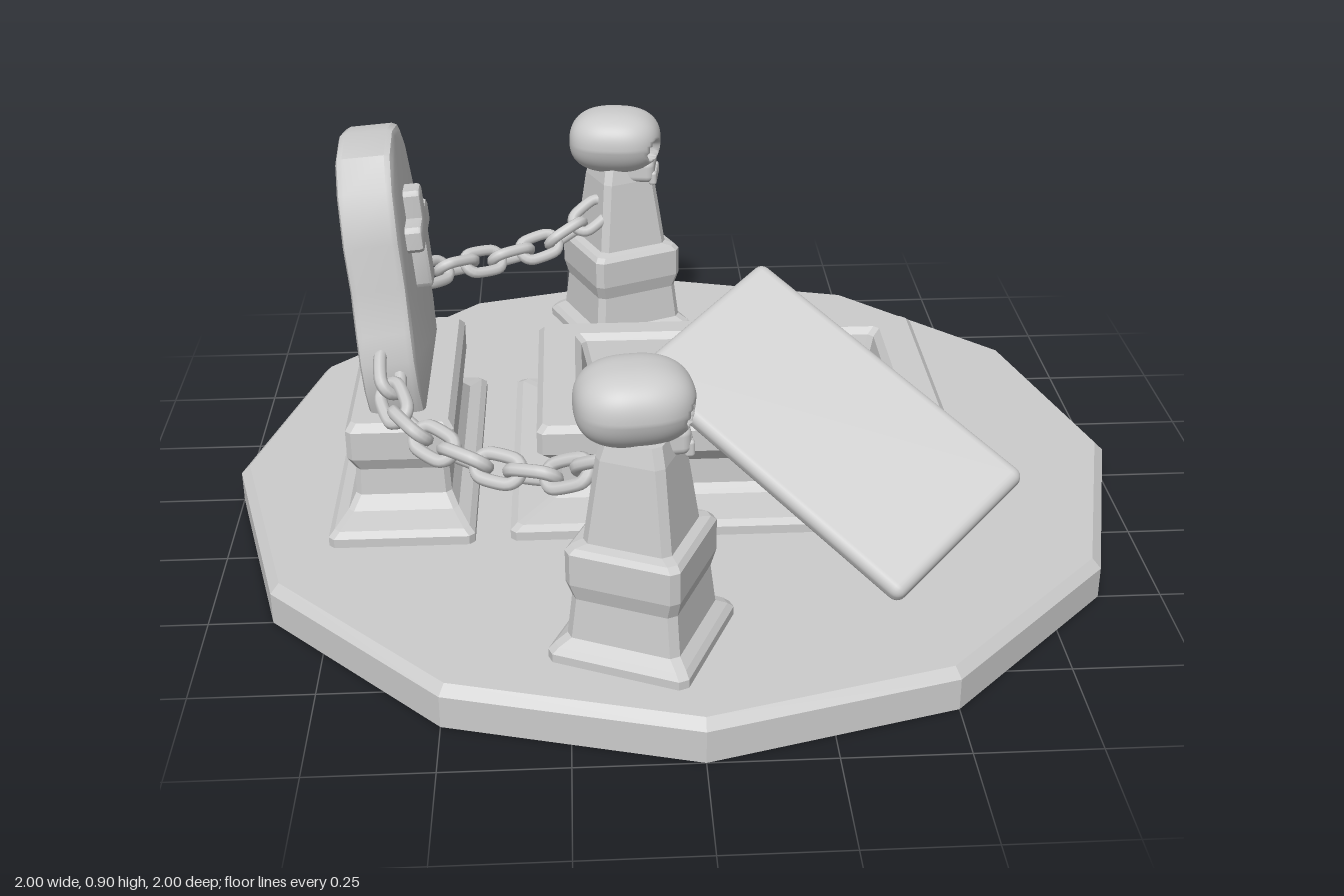
import * as THREE from 'three';
import { toCreasedNormals } from 'three/addons/utils/BufferGeometryUtils.js';
import { RoundedBoxGeometry } from 'three/addons/geometries/RoundedBoxGeometry.js';

const smooth = new THREE.MeshStandardMaterial({ color: 0xcccccc });
const flat = new THREE.MeshStandardMaterial({ color: 0xcccccc, flatShading: true });
const flatDouble = new THREE.MeshStandardMaterial({ color: 0xcccccc, flatShading: true, side: THREE.DoubleSide });

function mesh(name, geometry, material, parent) {
  const m = new THREE.Mesh(geometry, material);
  m.name = name;
  parent.add(m);
  return m;
}

// Stacked rectangular rings [halfX, halfZ, y] with chamfered corners
function rectLoft(rings, c = 0.012) {
  const pos = [], index = [], n = 8, last = (rings.length - 1) * n;
  for (const [x, z, y] of rings) {
    const loop = [[x, z - c], [x, c - z], [x - c, -z], [c - x, -z], [-x, c - z], [-x, z - c], [c - x, z], [x - c, z]];
    for (const [px, pz] of loop) pos.push(px, y, pz);
  }
  for (let i = 0; i < last; i += n) {
    for (let j = 0; j < n; j++) {
      const a = i + j, b = i + (j + 1) % n;
      index.push(a, b, b + n, a, b + n, a + n);
    }
  }
  for (let j = 1; j < n - 1; j++) {
    index.push(0, j + 1, j, last, last + j, last + j + 1);
  }
  const g = new THREE.BufferGeometry();
  g.setAttribute('position', new THREE.Float32BufferAttribute(pos, 3));
  g.setIndex(index);
  g.computeVertexNormals();
  return g;
}

// Bevelled slab from an outline, centred on its thickness
function slab(points, thickness, bevel) {
  const g = new THREE.ExtrudeGeometry(new THREE.Shape(points.map(p => new THREE.Vector2(...p))), {
    depth: thickness - 2 * bevel, bevelEnabled: true, bevelSize: bevel, bevelThickness: bevel,
    bevelOffset: -bevel, bevelSegments: 2
  });
  g.translate(0, 0, bevel - thickness / 2);
  return toCreasedNormals(g, 0.6);
}

const mirrored = half => [...half, ...half.filter(p => p[0] > 0).reverse().map(([x, y]) => [-x, y])];

// Boxy cranium with eye and nose hollows pressed into the +x side
function craniumGeometry() {
  const g = new THREE.SphereGeometry(1, 72, 56);
  const p = g.attributes.position, v = new THREE.Vector3(), e = 2.5;
  const hollows = [[-0.012, 0.04, 0.027], [-0.012, -0.04, 0.027], [-0.05, 0, 0.014]];
  for (let i = 0; i < p.count; i++) {
    v.fromBufferAttribute(p, i);
    v.multiplyScalar((Math.abs(v.x) ** e + Math.abs(v.y) ** e + Math.abs(v.z) ** e) ** (-1 / e));
    const narrow = v.y < 0 ? 1 + 0.2 * v.y : 1;
    v.set(v.x * 0.115, v.y * 0.08, v.z * 0.1 * narrow);
    if (v.x > 0.03) {
      for (const [y, z, r] of hollows) {
        const d = Math.hypot(v.y - y, v.z - z) / r;
        if (d < 1) v.x -= 0.045 * Math.min(1, (1 - d) * 3);
      }
    }
    p.setXYZ(i, v.x, v.y, v.z);
  }
  g.computeVertexNormals();
  return g;
}

function addSkull(parent, side) {
  const skull = new THREE.Group();
  skull.name = 'skull';
  skull.position.set(-0.118, 0.607, side * 0.705);
  skull.rotation.y = side * 0.12;
  parent.add(skull);
  mesh('cranium', craniumGeometry(), smooth, skull);
  mesh('jaw', new RoundedBoxGeometry(0.1, 0.06, 0.1, 3, 0.018), smooth, skull).position.set(0.052, -0.07, 0);
  for (let i = 0; i < 4; i++) {
    mesh('tooth', new RoundedBoxGeometry(0.02, 0.035, 0.021, 2, 0.007), smooth, skull)
      .position.set(0.098, -0.088, (i - 1.5) * 0.023);
  }
}

// Stadium-shaped link, long axis along z
function linkGeometry() {
  const R = 0.027, h = 0.024, pts = [];
  for (let i = 0; i < 16; i++) {
    const a = (i + 0.5) / 16 * Math.PI * 2;
    pts.push(new THREE.Vector3(R * Math.cos(a), 0, R * Math.sin(a) + Math.sign(Math.sin(a)) * h));
  }
  return new THREE.TubeGeometry(new THREE.CatmullRomCurve3(pts, true), 32, 0.014, 8, true);
}

function addChain(parent, side) {
  const chain = new THREE.Group();
  chain.name = 'chain';
  parent.add(chain);
  const curve = new THREE.CatmullRomCurve3([
    [-0.62, 0.46, 0.22], [-0.605, 0.41, 0.32], [-0.53, 0.385, 0.43], [-0.41, 0.37, 0.515],
    [-0.29, 0.38, 0.58], [-0.21, 0.415, 0.62], [-0.15, 0.45, 0.66]
  ].map(([x, y, z]) => new THREE.Vector3(x, y, side * z)));
  const geometry = linkGeometry(), count = 9;
  for (let i = 0; i < count; i++) {
    const t = (i + 0.4) / count;
    const link = mesh('chainLink', geometry, smooth, chain);
    link.position.copy(curve.getPointAt(t));
    link.lookAt(link.position.clone().add(curve.getTangentAt(t)));
    link.rotateZ(side * (i % 2 ? 1 : -1) * Math.PI / 4);
  }
}

export function createModel() {
  const model = new THREE.Group();
  model.name = 'grave';

  // Twelve-sided ground disc, open underneath
  const rim = [[1, 0], [1, 0.07], [0.98, 0.09], [0, 0.09]].map(p => new THREE.Vector2(...p));
  mesh('groundDisc', new THREE.LatheGeometry(rim, 12), flatDouble, model);

  // Hollow tomb with moulded rim
  mesh('tomb', rectLoft([
    [0.505, 0.355, 0.085], [0.505, 0.355, 0.11], [0.49, 0.34, 0.12], [0.42, 0.25, 0.13],
    [0.405, 0.235, 0.15], [0.405, 0.235, 0.21], [0.445, 0.262, 0.245], [0.445, 0.262, 0.295],
    [0.432, 0.25, 0.31], [0.36, 0.198, 0.31], [0.345, 0.185, 0.295], [0.315, 0.155, 0.17]
  ]), flat, model).position.x = 0.13;

  // Displaced lid leaning on the tomb
  const lid = mesh('lid', new RoundedBoxGeometry(0.755, 0.05, 0.405, 3, 0.022), smooth, model);
  lid.position.set(0.3, 0.325, 0.305);
  lid.rotation.set(0.55, -0.823, 0);

  // Headstone and its base
  mesh('headstoneBase', rectLoft([
    [0.155, 0.363, 0.085], [0.155, 0.363, 0.11], [0.143, 0.35, 0.122], [0.118, 0.29, 0.135],
    [0.103, 0.262, 0.16], [0.1, 0.258, 0.22], [0.115, 0.272, 0.25], [0.115, 0.272, 0.315],
    [0.103, 0.258, 0.332]
  ]), flat, model).position.x = -0.605;

  const headstone = new THREE.Group();
  headstone.name = 'headstone';
  headstone.position.set(-0.612, 0.33, 0);
  headstone.rotation.z = 0.085;
  model.add(headstone);
  const stone = mesh('stone', slab(mirrored([
    [0.205, -0.02], [0.235, 0.06], [0.237, 0.13], [0.222, 0.19], [0.194, 0.28], [0.192, 0.38],
    [0.155, 0.485], [0.1, 0.545], [0, 0.565]
  ]), 0.12, 0.016), smooth, headstone);
  const cross = mesh('cross', slab(mirrored([
    [0.024, 0.205], [0.03, 0.215], [0.03, 0.312], [0.082, 0.312], [0.092, 0.322], [0.092, 0.36],
    [0.082, 0.37], [0.03, 0.37], [0.03, 0.42], [0.022, 0.43]
  ]), 0.06, 0.008), smooth, headstone);
  stone.rotation.y = cross.rotation.y = Math.PI / 2;
  cross.position.x = 0.066;

  // Skull-topped posts and chains on both sides
  for (const side of [1, -1]) {
    const post = mesh('post', rectLoft([
      [0.145, 0.145, 0.085], [0.145, 0.145, 0.108], [0.135, 0.135, 0.12], [0.116, 0.116, 0.135],
      [0.108, 0.108, 0.22], [0.117, 0.117, 0.255], [0.117, 0.117, 0.322], [0.108, 0.108, 0.333],
      [0.09, 0.09, 0.338], [0.07, 0.07, 0.51], [0.06, 0.06, 0.55]
    ], 0.015), flat, model);
    post.position.set(-0.107, 0, side * 0.713);
    post.rotation.y = -side * 0.41;
    addSkull(model, side);
    addChain(model, side);
  }
  return model;
}
